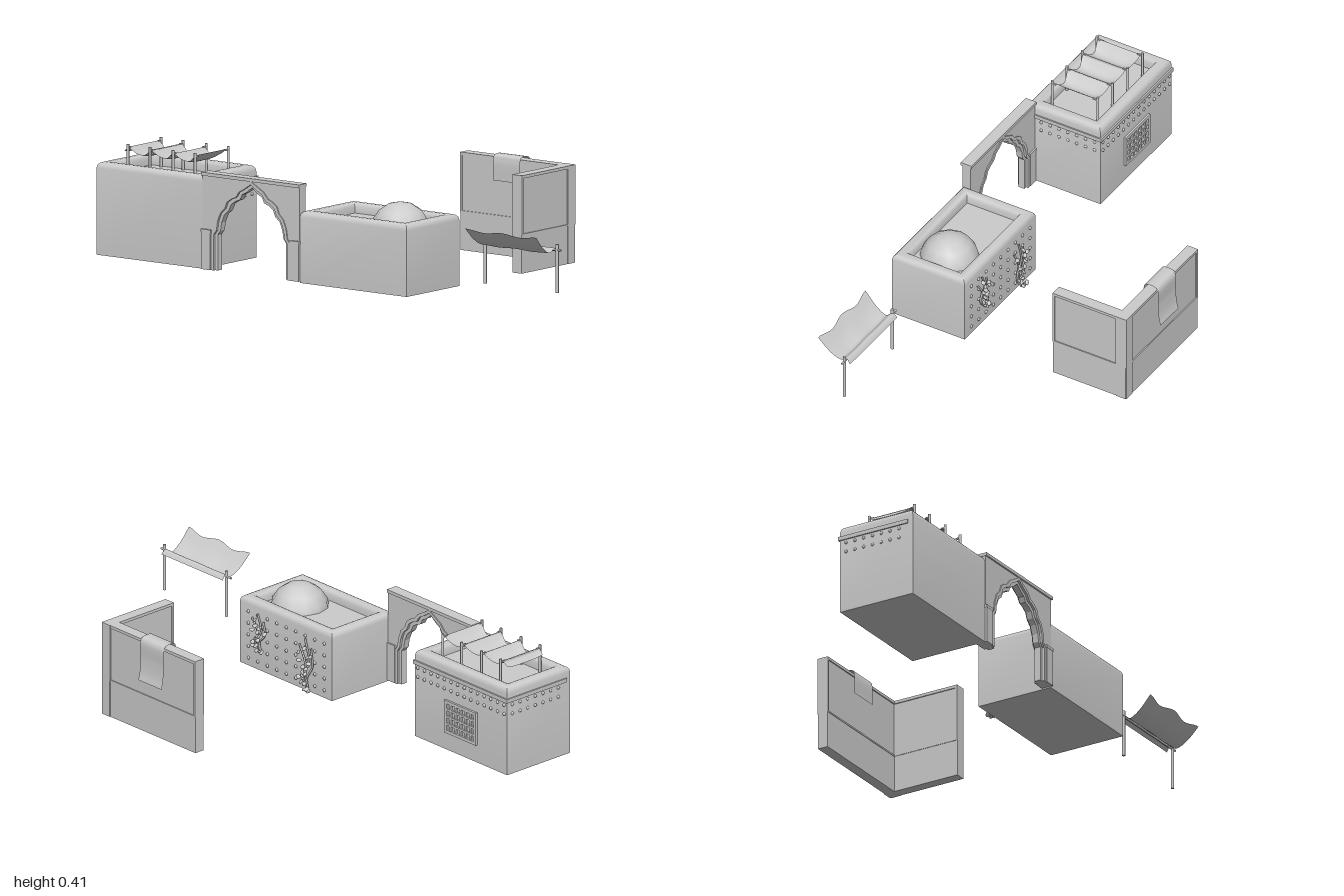
import * as THREE from 'three';
import { toCreasedNormals } from 'three/addons/utils/BufferGeometryUtils.js';
import { ParametricGeometry } from 'three/addons/geometries/ParametricGeometry.js';

const grey = new THREE.MeshStandardMaterial({ color: 0xcccccc });
const cloth = new THREE.MeshStandardMaterial({ color: 0xcccccc, side: THREE.DoubleSide });

function add(parent, name, geo, x = 0, y = 0, z = 0, mat = grey) {
  const m = new THREE.Mesh(geo, mat);
  m.name = name;
  m.position.set(x, y, z);
  parent.add(m);
  return m;
}

// Box given by its limits
function box(parent, name, x0, x1, y0, y1, z0, z1) {
  return add(parent, name, new THREE.BoxGeometry(x1 - x0, y1 - y0, z1 - z0),
    (x0 + x1) / 2, (y0 + y1) / 2, (z0 + z1) / 2);
}

function group(parent, name) {
  const g = new THREE.Group();
  g.name = name;
  parent.add(g);
  return g;
}

// Rectangular loft: each profile step is [inset, y]; both ends are capped
function rectLoft(x0, x1, z0, z1, profile) {
  const pos = [], idx = [];
  for (const [i, y] of profile)
    pos.push(x0 + i, y, z1 - i, x1 - i, y, z1 - i, x1 - i, y, z0 + i, x0 + i, y, z0 + i);
  for (let r = 0; r < profile.length - 1; r++)
    for (let k = 0; k < 4; k++) {
      const a = r * 4 + k, b = r * 4 + (k + 1) % 4;
      idx.push(a, b, b + 4, a, b + 4, a + 4);
    }
  const t = (profile.length - 1) * 4;
  idx.push(0, 2, 1, 0, 3, 2, t, t + 1, t + 2, t, t + 2, t + 3);
  const g = new THREE.BufferGeometry();
  g.setAttribute('position', new THREE.Float32BufferAttribute(pos, 3));
  g.setIndex(idx);
  return toCreasedNormals(g, 0.7);
}

// House body with a rounded parapet around a sunken roof
function house(parent, name, x0, x1, z0, z1, base, top, floor) {
  add(parent, name, rectLoft(x0, x1, z0, z1, [
    [0, base], [0, top - 0.022], [0.003, top - 0.01], [0.01, top - 0.003], [0.018, top],
    [0.032, top], [0.04, top - 0.004], [0.045, top - 0.014], [0.046, floor]]));
}

const studGeo = new THREE.SphereGeometry(0.0065, 8, 6);
const stud = (p, x, y, z) => add(p, 'stud', studGeo, x, y, z);

function pole(parent, x, z, y0, y1, r = 0.005) {
  add(parent, 'pole', new THREE.CylinderGeometry(r, r, y1 - y0, 8), x, (y0 + y1) / 2, z);
}

function sheet(parent, name, fn, nu, nv) {
  add(parent, name, new ParametricGeometry((u, v, p) => p.set(...fn(u, v)), nu, nv), 0, 0, 0, cloth);
}

function seeded(s) {
  return () => (s = (s * 16807) % 2147483647) / 2147483647;
}

// Tall house with stud rows, lattice window and scalloped roof canopy
function tallHouse(root) {
  const g = group(root, 'tallHouse');
  house(g, 'tallHouseBody', -0.995, -0.51, 0.185, 0.49, 0.01, 0.345, 0.305);
  box(g, 'backBand', -1, -0.505, 0.29, 0.305, 0.179, 0.19);
  for (const x of [-0.994, -0.511]) box(g, 'sideBand', x - 0.006, x + 0.006, 0.29, 0.305, 0.179, 0.47);
  for (const y of [0.278, 0.243]) {
    for (let i = 0; i < 14; i++) stud(g, -0.98 + i * 0.035, y, 0.185);
    for (let i = 0; i < 7; i++) for (const x of [-0.994, -0.511]) stud(g, x, y, 0.21 + i * 0.037);
  }
  const w = group(g, 'latticeWindow');
  w.position.set(-0.755, 0.14, 0.183);
  for (const s of [-1, 1]) {
    box(w, 'frameSide', s * 0.077 - 0.006, s * 0.077 + 0.006, -0.063, 0.063, -0.006, 0.004);
    box(w, 'frameRail', -0.083, 0.083, s * 0.057 - 0.006, s * 0.057 + 0.006, -0.006, 0.004);
  }
  for (let i = -2; i <= 2; i++) box(w, 'latticeUpright', i * 0.026 - 0.004, i * 0.026 + 0.004, -0.055, 0.055, -0.004, 0.002);
  for (let i = -1; i <= 1; i++) box(w, 'latticeBar', -0.075, 0.075, i * 0.028 - 0.004, i * 0.028 + 0.004, -0.005, 0.002);

  const c = group(g, 'roofCanopy');
  for (const x of [-0.895, -0.795, -0.69, -0.59])
    for (const z of [0.245, 0.435]) {
      pole(c, x, z, 0.3, 0.412);
      box(c, 'tie', x - 0.003, x + 0.003, 0.397, 0.403, z < 0.3 ? z : 0.42, z < 0.3 ? 0.265 : z);
    }
  sheet(c, 'canopyCloth', (u, v) => {
    const x = -0.92 + u * 0.33, t = (x + 0.59) / 0.102;
    const edge = Math.abs(v * 2 - 1);
    return [x, 0.403 - 0.036 * Math.abs(Math.sin(Math.PI * t)) * (1 - 0.2 * edge ** 4),
      0.342 + (v - 0.5) * (0.165 + 0.012 * Math.cos(2 * Math.PI * t))];
  }, 40, 10);
}

// Low house with a dome, studs and climbing plants on its back
function lowHouse(root) {
  const g = group(root, 'lowHouse');
  house(g, 'lowHouseBody', -0.07, 0.415, 0.187, 0.49, 0.005, 0.265, 0.228);
  add(g, 'dome', new THREE.SphereGeometry(0.11, 12, 8), 0.268, 0.205, 0.34);
  for (let i = 0; i < 9; i++)
    for (let j = 0; j < 5; j++) stud(g, -0.03 + i * 0.05, 0.035 + j * 0.045, 0.187);
  const rnd = seeded(7);
  const leaf = new THREE.SphereGeometry(1, 6, 4);
  for (const [cx, y0, y1] of [[0.05, 0.005, 0.21], [0.3, 0.08, 0.225]]) {
    const v = group(g, 'climbingPlant');
    const h = y1 - y0;
    for (const s of [-1, 0, 1]) {
      const pts = [0, 0.3, 0.6, 1].map((t, k) =>
        new THREE.Vector3(cx + s * 0.03 * t + (k % 2 ? 0.012 : -0.008), y0 + h * t * (s ? 0.85 : 1), 0.178));
      const curve = new THREE.CatmullRomCurve3(pts);
      add(v, 'stem', new THREE.TubeGeometry(curve, 16, 0.004, 5));
      for (let i = 0; i < 7; i++) {
        const p = curve.getPoint((i + 0.7) / 7.7);
        const m = add(v, 'leaf', leaf, p.x + (rnd() - 0.5) * 0.035, p.y, 0.17 - rnd() * 0.008);
        m.scale.set(0.011, 0.008, 0.003);
        m.rotation.set(0.6 + rnd() * 0.5, (rnd() - 0.5), rnd() * 3);
      }
    }
  }
}

// Half outline of the lobed arch, [half width, height]
const archHalf = [[0.155, 0.01], [0.155, 0.14], [0.143, 0.155], [0.138, 0.185], [0.125, 0.215], [0.105, 0.232],
  [0.095, 0.255], [0.075, 0.268], [0.055, 0.275], [0.045, 0.295], [0.025, 0.305], [0, 0.325]];

// Arch outline from left foot to right foot, widened by d
function archLine(d) {
  const half = archHalf.map(([x, y], i) => [x ? x + d * (i > 8 ? 0.6 : 1) : 0, y > 0.14 ? y + d * (y - 0.14) / 0.185 : y]);
  return [...half.map(([x, y]) => [-x, y]), ...half.slice(0, -1).reverse()].map(p => new THREE.Vector2(...p));
}

function archWall(root) {
  const g = group(root, 'archWall');
  g.position.x = -0.29;
  const extrude = (name, pts, z0, z1) => add(g, name, new THREE.ExtrudeGeometry(new THREE.Shape(pts),
    { depth: z1 - z0, bevelEnabled: false }), 0, 0, z0);
  const V = (x, y) => new THREE.Vector2(x, y);
  extrude('wall', [...archLine(0.012), V(0.22, 0.01), V(0.22, 0.352), V(-0.22, 0.352), V(-0.22, 0.01)], 0.458, 0.492);
  // stepped mouldings, the inner one widest in depth
  extrude('innerMoulding', [...archLine(0), ...archLine(0.014).reverse()], 0.463, 0.487);
  extrude('outerMoulding', [...archLine(0.012), ...archLine(0.024).reverse()], 0.454, 0.496);
  box(g, 'cap', -0.222, 0.222, 0.348, 0.36, 0.454, 0.498);
  for (const s of [-1, 1]) {
    const a = s * 0.201;
    box(g, 'pilaster', a - 0.02, a + 0.02, 0.01, 0.15, 0.453, 0.499);
    box(g, 'pilasterCap', a - 0.022, a + 0.022, 0.145, 0.155, 0.452, 0.5);
  }
}

// One wall length along x: plain foot, framed upper panel on both faces
function panelWall(parent, name, len) {
  const g = group(parent, name), t = 0.022;
  box(g, 'foot', -len / 2, len / 2, 0, 0.14, -t + 0.002, t - 0.002);
  box(g, 'panel', -len / 2 + 0.004, len / 2 - 0.004, 0.14, 0.345, -t + 0.004, t - 0.004);
  box(g, 'topRail', -len / 2, len / 2, 0.343, 0.354, -t, t);
  box(g, 'lowerRail', -len / 2, len / 2, 0.137, 0.143, -t, t);
  for (const s of [-1, 1]) {
    const x = s * (len / 2 - 0.004);
    box(g, 'endRail', x - 0.004, x + 0.004, 0.137, 0.35, -t, t);
  }
  return g;
}

function cornerWall(root) {
  const g = group(root, 'cornerWall');
  panelWall(g, 'backWall', 0.49).position.set(0.165, 0, -0.462);
  const side = panelWall(g, 'sideWall', 0.308);
  side.position.set(0.388, 0, -0.331);
  side.rotation.y = Math.PI / 2;
  const path = new THREE.CatmullRomCurve3([[0.27, -0.428], [0.345, -0.43], [0.361, -0.436], [0.362, -0.478],
    [0.35, -0.488], [0.28, -0.489], [0.23, -0.493], [0.2, -0.5]].map(([y, z]) => new THREE.Vector3(0, y, z)));
  sheet(g, 'drapedCloth', (u, v) => {
    const p = path.getPoint(v);
    return [0.14 + (u - 0.5) * 0.122, p.y, p.z];
  }, 4, 28);
}

// Free-standing awning hung from a bar on two poles
function awning(root) {
  const g = group(root, 'awning');
  for (const x of [0.655, 0.982]) pole(g, x, 0.342, 0.06, 0.235, 0.006);
  const bar = add(g, 'bar', new THREE.CylinderGeometry(0.004, 0.004, 0.37, 8), 0.815, 0.215, 0.342);
  bar.rotation.z = Math.PI / 2;
  const path = new THREE.CatmullRomCurve3([[0.205, 0.322], [0.219, 0.335], [0.219, 0.345], [0.204, 0.365],
    [0.208, 0.385], [0.23, 0.418], [0.268, 0.455]].map(([y, z]) => new THREE.Vector3(0, y, z)));
  sheet(g, 'awningCloth', (u, v) => {
    const p = path.getPoint(v), wave = Math.cos(u * Math.PI * 4) * v * v;
    return [0.815 + (u - 0.5) * (0.305 + 0.018 * Math.abs(v * 2 - 1)), p.y + 0.005 * wave, p.z - 0.005 * (1 - wave) * v];
  }, 24, 20);
}

export function createModel() {
  const root = new THREE.Group();
  root.name = 'desertTownPieces';
  tallHouse(root);
  lowHouse(root);
  archWall(root);
  cornerWall(root);
  awning(root);
  return root;
}
